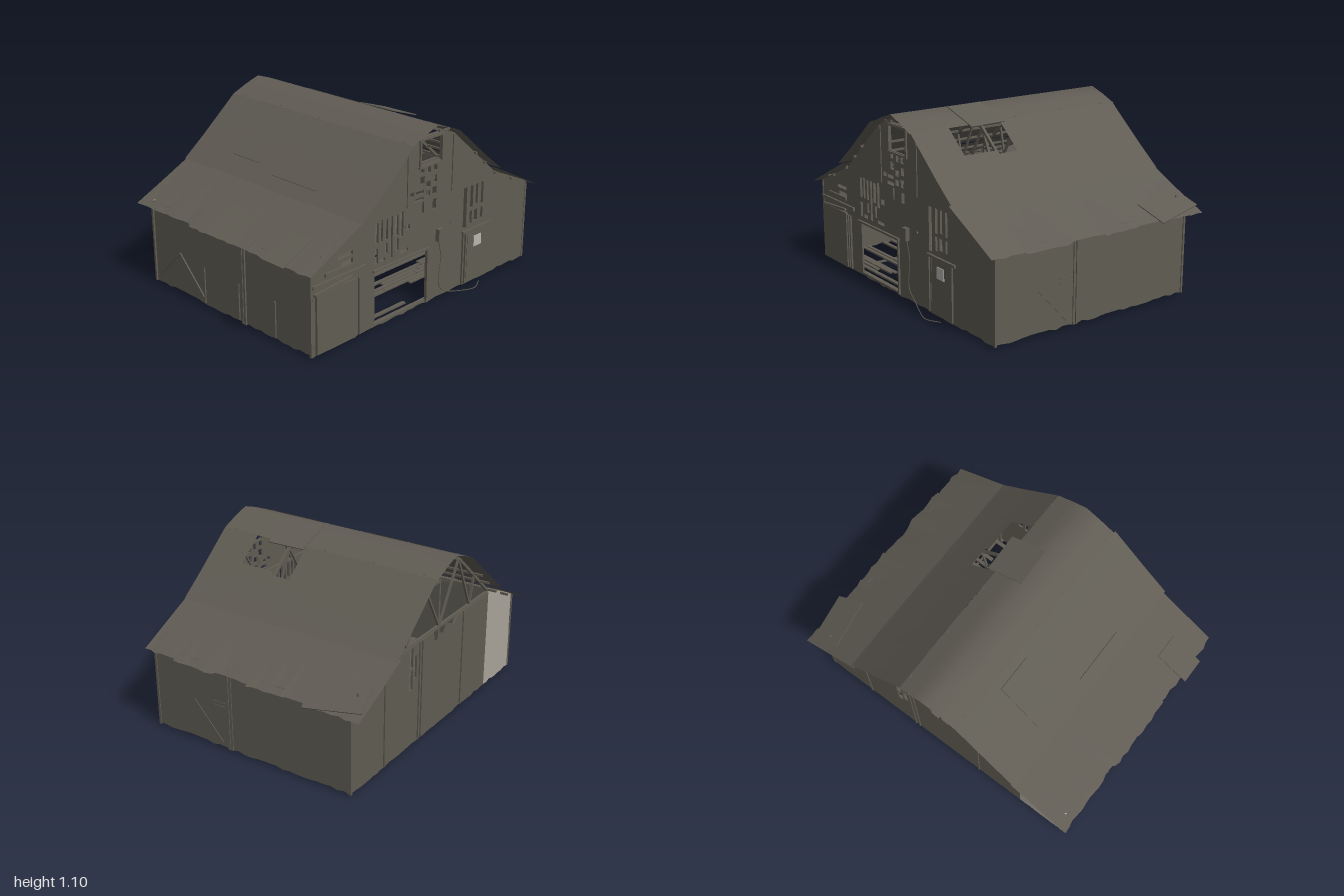
import * as THREE from 'three';

export function createModel() {
  const barn = new THREE.Group();
  barn.name = 'barn';
  const mat = (name, color) => {
    const m = new THREE.MeshStandardMaterial({ color, side: THREE.DoubleSide });
    m.name = name;
    return m;
  };
  const wood = mat('weatheredWood', 0x605c53);
  const tin = mat('roofTin', 0x605c54);
  const pale = mat('paleSheet', 0xa9a49b);
  const glass = mat('paleGlass', 0xbab6af);

  let seed = 7;
  const rnd = () => (seed = (seed * 16807) % 2147483647) / 2147483647;

  const add = (name, geo, m, x = 0, y = 0, z = 0) => {
    const mesh = new THREE.Mesh(geo, m);
    mesh.name = name;
    mesh.position.set(x, y, z);
    barn.add(mesh);
    return mesh;
  };
  // box given by its low and high corners
  const box = (name, a, b, m = wood) => add(name,
    new THREE.BoxGeometry(b[0] - a[0], b[1] - a[1], b[2] - a[2]), m,
    (a[0] + b[0]) / 2, (a[1] + b[1]) / 2, (a[2] + b[2]) / 2);
  // square timber between two points
  const bar = (name, p, q, w = 0.016) => {
    const a = new THREE.Vector3(...p), b = new THREE.Vector3(...q);
    const mesh = add(name, new THREE.BoxGeometry(w, a.distanceTo(b), w), wood);
    mesh.position.copy(a).lerp(b, 0.5);
    mesh.quaternion.setFromUnitVectors(new THREE.Vector3(0, 1, 0), b.sub(a).normalize());
  };
  // upright panel cut from an outline in x and y
  const path = (pts, C) => new C(pts.map(p => new THREE.Vector2(...p)));
  const rect = ([x0, y0, x1, y1]) => [[x0, y0], [x1, y0], [x1, y1], [x0, y1]];
  const panel = (name, pts, holes, z, m = wood) => {
    const s = path(pts, THREE.Shape);
    s.holes = holes.map(h => path(h, THREE.Path));
    return add(name, new THREE.ExtrudeGeometry(s, { depth: 0.012, bevelEnabled: false }), m, 0, 0, z);
  };
  // worn lower edge running from x0 to x1
  const worn = (x0, x1, n) => Array.from({ length: n + 1 }, (_, i) =>
    [x0 + (x1 - x0) * i / n, 0.016 + 0.014 * rnd()]);

  // ---- front wall ----
  const slots = [
    [-0.085, 0.875, 0.09, 1.02],
    [-0.08, 0.83, -0.05, 0.862], [-0.08, 0.765, -0.045, 0.81], [0.03, 0.82, 0.06, 0.862],
    [-0.02, 0.82, 0.005, 0.862], [0.03, 0.75, 0.06, 0.795], [-0.03, 0.735, 0.005, 0.77],
    [-0.16, 0.71, -0.13, 0.735], [-0.12, 0.67, -0.05, 0.69], [-0.115, 0.71, -0.05, 0.73],
    [0.025, 0.68, 0.06, 0.725], [-0.03, 0.68, 0.005, 0.715], [0.03, 0.59, 0.06, 0.65], [-0.06, 0.59, -0.045, 0.66],
    [-0.44, 0.52, -0.415, 0.64], [-0.4, 0.52, -0.38, 0.645], [-0.36, 0.52, -0.34, 0.64],
    [-0.32, 0.4, -0.3, 0.645], [-0.285, 0.52, -0.255, 0.64], [-0.24, 0.5, -0.215, 0.65],
    [-0.2, 0.53, -0.16, 0.56], [-0.44, 0.4, -0.415, 0.49], [-0.4, 0.4, -0.36, 0.42],
    [-0.36, 0.44, -0.34, 0.5], [-0.24, 0.4, -0.17, 0.42], [-0.27, 0.43, -0.25, 0.5],
    [0.308, 0.385, 0.338, 0.64], [0.37, 0.5, 0.395, 0.64], [0.41, 0.41, 0.44, 0.48],
    [0.42, 0.51, 0.44, 0.64], [0.47, 0.5, 0.49, 0.64], [0.37, 0.4, 0.39, 0.48], [0.47, 0.41, 0.49, 0.48],
    [-0.44, 0.04, -0.01, 0.36], [-0.84, 0.56, -0.76, 0.575], [-0.7, 0.46, -0.61, 0.5], [-0.72, 0.52, -0.61, 0.54],
  ].map(rect);
  slots.push([[-0.07, 1.035], [0.075, 1.035], [0.075, 1.05], [0, 1.075], [-0.07, 1.05]]);
  slots.push([[0.18, 0.458], [0.19, 0.446], [0.2, 0.458], [0.19, 0.47]]);
  const gable = [[0.91, 0.53], [0.59, 0.675], [0.2, 1.005], [0, 1.085], [-0.2, 1.005], [-0.58, 0.675], [-0.905, 0.53]];
  panel('frontWall', [...worn(-0.905, 0.91, 44), ...gable], slots, 0.672);

  // window frame, corner boards, seams and boards on the front
  for (const x of [-0.095, 0.09]) box('loftFrame', [x, 0.86, 0.682], [x + 0.012, 1.03, 0.694]);
  for (const y of [0.86, 1.02]) box('loftFrame', [-0.1, y, 0.682], [0.105, y + 0.012, 0.694]);
  for (const x of [-0.595, -0.57, -0.015, 0.305, 0.33]) box('frontPost', [x, 0.03, 0.682], [x + 0.012, 0.37, 0.695]);
  for (const x of [-0.59, -0.19, 0.19]) box('gableSeam', [x, 0.66, 0.682], [x + 0.01, x < -0.5 ? 0.68 : 1, 0.69]);
  box('doorRail', [-0.46, 0.36, 0.682], [0, 0.372, 0.698]);
  box('doorRail', [0.3, 0.355, 0.682], [0.57, 0.37, 0.698]);
  box('slidingDoor', [-0.89, 0.03, 0.686], [-0.6, 0.38, 0.7]);
  box('looseBoard', [-0.91, 0.41, 0.684], [-0.515, 0.432, 0.696]);
  box('looseBoard', [-0.82, 0.455, 0.684], [-0.61, 0.475, 0.694]);
  bar('looseBoard', [-0.9, 0.375, 0.69], [-0.62, 0.395, 0.69]);
  box('smallDoor', [0.345, 0.03, 0.684], [0.54, 0.355, 0.695]);
  box('doorWindow', [0.402, 0.25, 0.694], [0.47, 0.318, 0.699], glass);
  box('meterBox', [0.065, 0.385, 0.684], [0.105, 0.46, 0.71]);
  const cable = new THREE.CatmullRomCurve3([[0.085, 0.385, 0.69], [0.11, 0.28, 0.69], [0.1, 0.1, 0.69],
    [0.16, 0.04, 0.69], [0.25, 0.02, 0.72], [0.36, 0.012, 0.75], [0.45, 0.012, 0.71]].map(p => new THREE.Vector3(...p)));
  add('cable', new THREE.TubeGeometry(cable, 40, 0.003, 5), wood);

  // ---- back wall, open above the tie beam ----
  panel('backWall', [...worn(-0.58, 0.91, 36), [0.91, 0.53], [0.86, 0.55], [0.85, 0.6], [0.82, 0.55], [0.76, 0.57],
    [0.74, 0.53], [0.66, 0.55], [0.64, 0.6], [0.6, 0.6], [0.59, 0.65], [0.08, 0.65], [0.07, 0.59], [0.02, 0.57],
    [0, 0.61], [-0.05, 0.59], [-0.08, 0.64], [-0.15, 0.61], [-0.2, 0.65], [-0.58, 0.65]],
  [[0.305, 0.38, 0.34, 0.5], [0.305, 0.52, 0.34, 0.64], [0.262, 0.44, 0.292, 0.58]].map(rect), -0.67);
  panel('paleBackPanel', [...worn(-0.905, -0.58, 8), [-0.58, 0.68], [-0.905, 0.53]], [], -0.67, pale);
  for (const x of [0.59, 0.23, 0.2, -0.27]) box('backSeam', [x, 0.03, -0.678], [x + 0.01, 0.65, -0.668]);

  // ---- side walls with posts and braces ----
  for (const s of [-1, 1]) {
    const wall = panel('sideWall', [...worn(-0.67, 0.68, 30), [0.68, 0.53], [-0.67, 0.53]], [], 0);
    wall.rotation.y = -Math.PI / 2;
    wall.position.x = s > 0 ? 0.916 : -0.9;
    const x = s * 0.915;
    for (const z of [-0.665, 0.135, 0.155, 0.68]) bar('sidePost', [x, 0.02, z], [x, 0.52, z], 0.014);
    if (s > 0) {
      bar('sideBrace', [x, 0.05, 0.67], [x, 0.27, 0.4], 0.01);
      bar('sideBrace', [x, 0.27, 0.4], [x, 0.05, 0.2], 0.01);
      for (const y of [0.28, 0.305]) bar('sideRail', [x, y, 0.15], [x, y, 0.26], 0.009);
    } else {
      bar('sideBrace', [x, 0.05, -0.65], [x, 0.27, -0.42], 0.01);
      bar('sideBrace', [x, 0.27, -0.42], [x, 0.05, -0.2], 0.01);
      for (const z of [-0.2, 0.1, 0.4]) bar('sideBatten', [x, 0.03, z], [x, 0.25, z], 0.01);
    }
  }

  // ---- trusses and purlins ----
  for (const z of [-0.655, -0.33, 0, 0.245, 0.655]) {
    bar('tieBeam', [-0.59, 0.65, z], [0.59, 0.65, z], 0.018);
    bar('collarBeam', [-0.19, 1.025, z], [0.19, 1.025, z], 0.012);
    for (const s of [-1, 1]) {
      bar('lowerRafter', [s * 0.91, 0.515, z], [s * 0.585, 0.665, z]);
      bar('upperRafter', [s * 0.585, 0.665, z], [s * 0.2, 0.998, z]);
      bar('ridgeRafter', [s * 0.2, 0.998, z], [0, 1.08, z]);
      bar('trussWeb', [0, 0.65, z], [s * 0.2, 0.995, z], 0.012);
      bar('trussWeb', [s * 0.36, 0.65, z], [s * 0.2, 0.995, z], 0.012);
      bar('trussWeb', [s * 0.36, 0.65, z], [s * 0.4, 0.82, z], 0.012);
      bar('innerPost', [s * 0.58, 0.03, z], [s * 0.58, 0.66, z]);
    }
  }
  for (const s of [-1, 1]) for (const [x, y] of [[0.585, 0.67], [0.48, 0.76], [0.39, 0.84], [0.75, 0.59]])
    bar('purlin', [s * x, y, -0.72], [s * x, y, 0.7], 0.012);

  // ---- roof sheets, lofted along z from a short profile ----
  const sheet = (name, profile, z0, z1, wear = 0, n = 4) => {
    const pos = [], idx = [], P = profile.length;
    const end = profile[0][0] < -0.7 ? 0 : profile[P - 1][0] > 0.7 ? P - 1 : -1;
    for (let j = 0; j <= n; j++) profile.forEach(([x, y], i) => {
      const d = i === end ? (rnd() - 0.5) * wear : 0;
      pos.push(x + d, y - Math.abs(d) * 0.4, z0 + (z1 - z0) * j / n);
    });
    for (let j = 0; j < n; j++) for (let i = 0; i < P - 1; i++) {
      const a = j * P + i, b = a + P;
      idx.push(a, b, a + 1, a + 1, b, b + 1);
    }
    const g = new THREE.BufferGeometry();
    g.setAttribute('position', new THREE.Float32BufferAttribute(pos, 3));
    g.setIndex(idx);
    g.computeVertexNormals();
    add(name, g, tin);
  };
  sheet('ridgeCap', [[-0.2, 1.024], [-0.1, 1.066], [0, 1.1], [0.1, 1.066], [0.2, 1.024]], -0.75, 0.728);
  const cuts = [-0.745, -0.5, -0.26, -0.03, 0.22, 0.5, 0.72];
  for (const s of [-1, 1]) {
    const prof = pts => (s < 0 ? pts.map(([x, y]) => [-x, y]).reverse() : pts);
    cuts.slice(0, -1).forEach((z0, k) => {
      const lift = (k % 2) * 0.006, eave = 0.96 + (rnd() - 0.5) * 0.02;
      sheet('lowerRoofSheet', prof([[0.57, 0.7 + lift], [0.76, 0.605 + lift], [eave, 0.508 + lift]]),
        z0 - 0.008, cuts[k + 1] + 0.008, 0.018, 6);
    });
    // the left slope is whole, the right one has a hole near the ridge
    const spans = s < 0
      ? [[-0.75, -0.5, 0.2], [-0.5, -0.03, 0.2], [-0.03, 0.33, 0.2], [0.33, 0.735, 0.2]]
      : [[-0.745, -0.5, 0.2], [-0.5, 0.03, 0.2], [0.03, 0.12, 0.2], [0.12, 0.25, 0.375], [0.25, 0.475, 0.352], [0.475, 0.72, 0.2]];
    spans.forEach(([z0, z1, x0], k) => {
      const lift = (k % 2) * 0.005, y = x => 1.024 - (x - 0.2) * 0.84 + lift;
      sheet('upperRoofSheet', prof([[x0, y(x0)], [0.45, y(0.45)], [0.6, y(0.6) + 0.008]]), z0, z1 + 0.004);
    });
  }

  // loose and patched sheets
  const loose = (w, d, p, rot) => {
    const m = add('looseRoofSheet', new THREE.BoxGeometry(w, 0.005, d), tin, ...p);
    m.rotation.set(...rot, 'YXZ');
  };
  loose(0.24, 0.24, [0.135, 1.064, 0.24], [0, 0.04, -0.33]);
  loose(0.19, 0.34, [0.885, 0.565, -0.56], [0.1, 0.2, -0.42]);
  loose(0.23, 0.16, [-0.895, 0.572, 0.485], [0, 0, 0.44]);
  loose(0.335, 0.23, [-0.375, 0.895, -0.295], [0, 0, 0.7]);
  loose(0.012, 0.36, [-0.53, 0.76, 0.15], [0, 0, 0.7]);

  // ---- floor planks, sparse behind the front doors ----
  for (let z = -0.65; z < 0.66; z += 0.031) {
    const front = z > 0.12;
    let x = -0.9;
    while (x < 0.88) {
      const end = Math.min(0.9, x + 0.3 + rnd() * 0.6);
      const middle = x < 0.35 && end > -0.5;
      const skip = front ? (middle ? 0.62 : 0.25) : 0.04;
      if (rnd() > skip) {
        const dz = (rnd() - 0.5) * 0.01;
        box('floorPlank', [x, 0.024, z + dz], [end, 0.034, z + dz + (front ? 0.024 : 0.03)]);
      }
      x = end + 0.004;
    }
  }
  for (const x of [-0.6, 0.6]) bar('floorJoist', [x, 0.018, -0.66], [x, 0.018, 0.67], 0.012);
  return barn;
}
